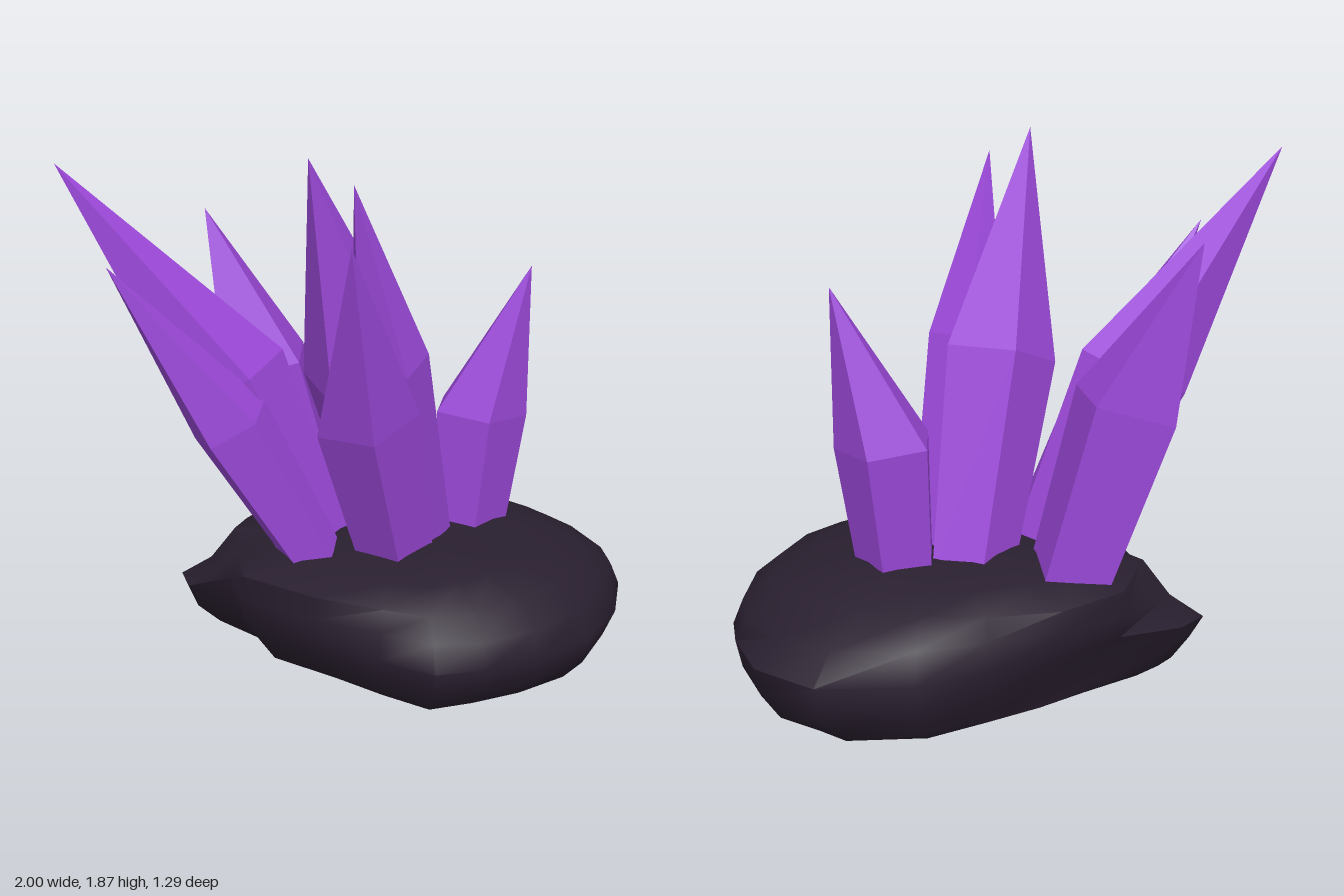
import * as THREE from 'three';
import { toCreasedNormals } from 'three/addons/utils/BufferGeometryUtils.js';

const crystalPurple = new THREE.MeshStandardMaterial({ color: 0x9c49da, flatShading: true });
crystalPurple.name = 'crystal purple';
const darkRock = new THREE.MeshStandardMaterial({ color: 0x291f2f });
darkRock.name = 'dark rock';

// Geometry from stacked rings of equal length, closed by a point at each end
function loft(rings, first, last) {
  const n = rings[0].length;
  const points = [first, ...rings.flat(), last];
  const end = points.length - 1;
  const index = [];
  for (let j = 0; j < n; j++) {
    const k = (j + 1) % n;
    index.push(0, 1 + k, 1 + j);
    for (let i = 0; i < rings.length - 1; i++) {
      const a = 1 + i * n, b = a + n;
      index.push(a + j, a + k, b + k, a + j, b + k, b + j);
    }
    const top = 1 + (rings.length - 1) * n;
    index.push(top + j, top + k, end);
  }
  const geometry = new THREE.BufferGeometry().setFromPoints(points);
  geometry.setIndex(index);
  geometry.computeVertexNormals();
  return geometry;
}

// A shard widens from its base to a waist, then runs to an off-axis tip
function makeCrystal(name, { base, waist, tip, r0, r1, sides, phase }) {
  const b = new THREE.Vector3(...base), w = new THREE.Vector3(...waist);
  const axis = w.clone().sub(b).normalize();
  const u = new THREE.Vector3(1, 0, 0).addScaledVector(axis, -axis.x).normalize();
  const v = axis.clone().cross(u);
  const ring = (center, r) => Array.from({ length: sides }, (_, j) => {
    const a = phase + (j / sides) * Math.PI * 2;
    return center.clone()
      .addScaledVector(u, r * Math.cos(a))
      .addScaledVector(v, r * Math.sin(a));
  });
  const root = b.clone().addScaledVector(axis, -0.1);
  const mesh = new THREE.Mesh(
    loft([ring(root, r0 * 0.9), ring(w, r1)], root, new THREE.Vector3(...tip)), crystalPurple);
  mesh.name = name;
  return mesh;
}

// Boulder: a lopsided plan outline scaled through several heights
function makeRock() {
  // x, z and how far the upper edge overhangs there (negative slopes back)
  const outline = [
    [1, -0.1, 0], [0.97, -0.34, -0.5], [0.82, -0.54, -0.75], [0.53, -0.645, -0.3],
    [0.27, -0.63, 0.4], [0, -0.6, 0.9], [-0.25, -0.53, 1], [-0.52, -0.43, 0.4],
    [-0.63, -0.36, 0], [-0.61, -0.24, 0], [-0.47, -0.03, 0.8], [-0.44, 0.16, 1],
    [-0.2, 0.38, 0.9], [0, 0.53, 0.5], [0.17, 0.645, 0.1], [0.35, 0.63, 0],
    [0.55, 0.57, 0], [0.75, 0.46, 0], [0.9, 0.27, 0], [0.98, 0.05, 0],
  ];
  const cx = 0.2, cz = -0.02;
  // height, scale of a rounded side, scale of an overhanging side
  const levels = [[0, 0.8, 0.74], [0.03, 0.87, 0.8], [0.12, 0.96, 0.89], [0.22, 1, 0.97],
    [0.31, 0.94, 0.99], [0.385, 0.82, 0.98], [0.435, 0.64, 0.74], [0.465, 0.4, 0.42]];
  const rings = levels.map(([y, round, over], i) => outline.map(([x, z, o], j) => {
    // gentle unevenness, and a low spur at the back right
    const wobble = i && i !== 3 ? 0.014 * Math.sin(j * 1.9 + i * 0.8) : 0;
    const spur = j >= 7 && j <= 9;
    const scale = THREE.MathUtils.lerp(round, over, o) + wobble - (spur && i > 3 ? 0.07 : 0);
    const lift = i > 3 ? 0.01 * Math.sin(j * 1.3 + i) : 0;
    const shift = -0.025 * Math.max(0, 2 - i);
    return new THREE.Vector3(cx + (x - cx) * scale,
      y * (spur && i < 5 ? 0.8 : 1) + lift, cz + shift + (z - cz) * scale);
  }));
  const geometry = loft(rings, new THREE.Vector3(cx, 0, cz), new THREE.Vector3(cx, 0.465, cz));
  const mesh = new THREE.Mesh(toCreasedNormals(geometry, 0.95), darkRock);
  mesh.name = 'rock';
  return mesh;
}

export function createModel() {
  const model = new THREE.Group();
  model.name = 'crystalCluster';
  model.add(makeRock());

  const crystals = {
    longLeaningCrystal: { base: [-0.16, 0.42, -0.06], waist: [-0.44, 1.05, -0.11],
      tip: [-1, 1.81, -0.12], r0: 0.15, r1: 0.21, sides: 5, phase: 0 },
    slimLeaningCrystal: { base: [-0.17, 0.43, 0.08], waist: [-0.45, 0.94, 0.1],
      tip: [-0.84, 1.52, 0.17], r0: 0.11, r1: 0.145, sides: 5, phase: 0.31 },
    backCrystal: { base: [-0.11, 0.4, -0.355], waist: [-0.29, 1.0, -0.395],
      tip: [-0.49, 1.56, -0.54], r0: 0.17, r1: 0.2, sides: 4, phase: 0.62 },
    tallCrystal: { base: [0.17, 0.45, -0.14], waist: [0.01, 1.1, 0.05],
      tip: [-0.19, 1.87, 0.25], r0: 0.17, r1: 0.21, sides: 5, phase: 0.31 },
    middleCrystal: { base: [0.23, 0.43, -0.01], waist: [0.09, 1.15, 0.14],
      tip: [-0.05, 1.79, 0.29], r0: 0.13, r1: 0.14, sides: 5, phase: 0 },
    frontCrystal: { base: [0.12, 0.45, 0.09], waist: [0, 0.99, 0.225],
      tip: [-0.09, 1.64, 0.53], r0: 0.15, r1: 0.185, sides: 5, phase: -0.31 },
    shortCrystal: { base: [0.43, 0.42, -0.125], waist: [0.47, 0.87, -0.135],
      tip: [0.64, 1.41, -0.1], r0: 0.15, r1: 0.175, sides: 5, phase: -0.31 },
  };
  for (const [name, spec] of Object.entries(crystals)) model.add(makeCrystal(name, spec));
  return model;
}
